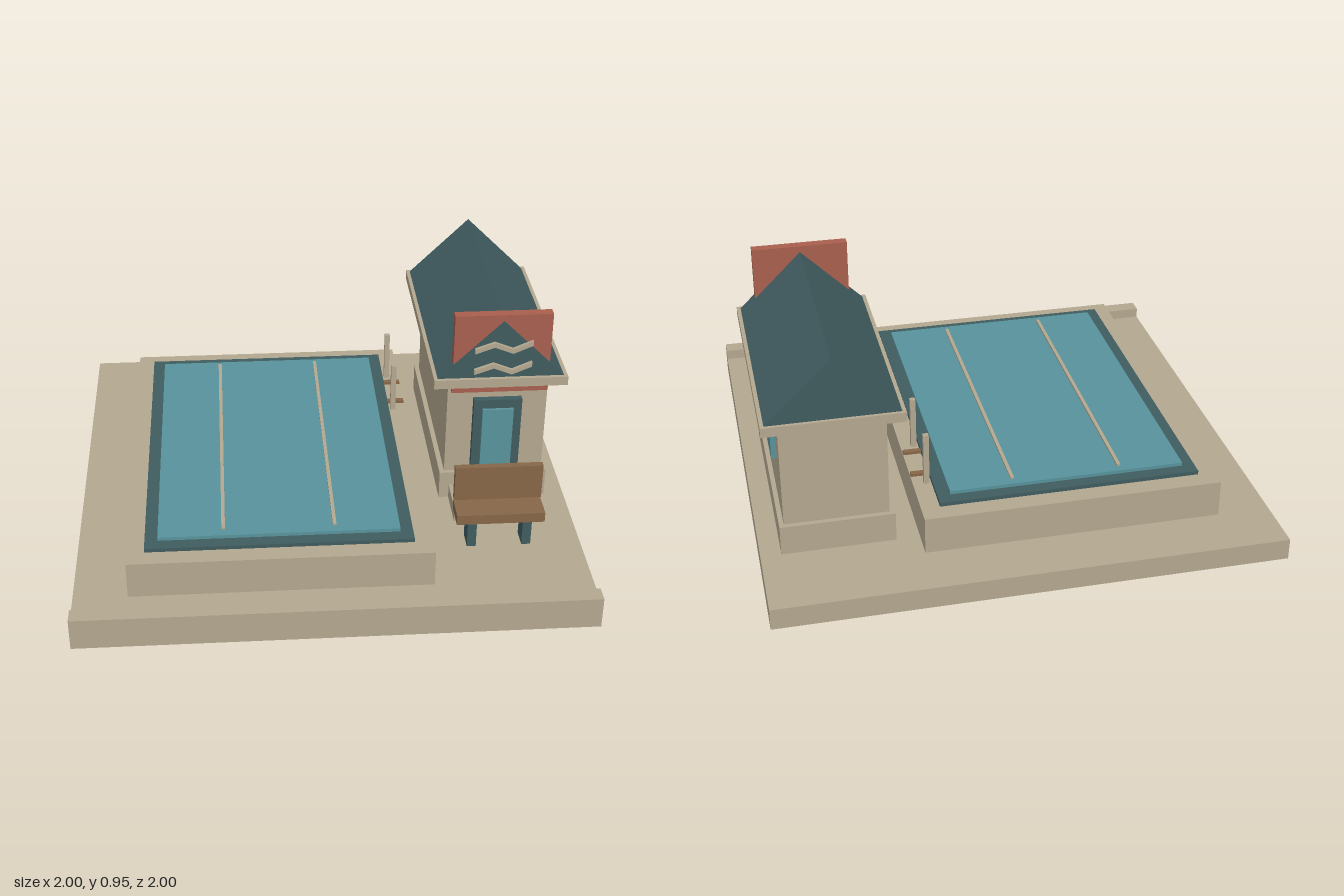
import * as THREE from 'three';

const mat = (name, color) => {
  const m = new THREE.MeshStandardMaterial({ color });
  m.name = name;
  return m;
};

export function createModel() {
  const root = new THREE.Group();
  root.name = 'poolAndHouse';
  const stone = mat('stone', 0xb3a78f);
  const slate = mat('slate', 0x405c5f);
  const aqua = mat('aqua', 0x57929b);
  const wood = mat('wood', 0x866648);
  const brick = mat('brick', 0xa85f4e);

  const group = (name) => {
    const g = new THREE.Group();
    g.name = name;
    root.add(g);
    return g;
  };
  // Box from its limits on each axis
  const box = (parent, name, m, [x0, x1], [y0, y1], [z0, z1]) => {
    const mesh = new THREE.Mesh(new THREE.BoxGeometry(x1 - x0, y1 - y0, z1 - z0), m);
    mesh.position.set((x0 + x1) / 2, (y0 + y1) / 2, (z0 + z1) / 2);
    mesh.name = name;
    parent.add(mesh);
  };
  // Outline in x and y, extruded from z0 to z1
  const prism = (parent, name, m, points, z0, z1) => {
    const shape = new THREE.Shape(points.map(([x, y]) => new THREE.Vector2(x, y)));
    const geo = new THREE.ExtrudeGeometry(shape, { depth: z1 - z0, bevelEnabled: false });
    geo.translate(0, 0, z0);
    const mesh = new THREE.Mesh(geo, m);
    mesh.name = name;
    parent.add(mesh);
  };

  // Ground slab with a front curb
  const ground = group('ground');
  box(ground, 'slab', stone, [-1, 1], [0, 0.087], [-1, 1]);
  box(ground, 'curb', stone, [-1, 1], [0.087, 0.13], [0.933, 1]);

  // Raised pool
  const pool = group('pool');
  box(pool, 'deck', stone, [-0.79, 0.385], [0.087, 0.238], [-0.777, 0.813]);
  box(pool, 'rim', slate, [-0.722, 0.312], [0.238, 0.254], [-0.703, 0.74]);
  box(pool, 'water', aqua, [-0.672, 0.262], [0.254, 0.268], [-0.653, 0.69]);
  for (const x of [-0.42, 0.01])
    box(pool, 'laneLine', stone, [x - 0.007, x + 0.007], [0.268, 0.277], [-0.62, 0.652]);

  // Ladder rails and rungs
  const ladder = group('ladder');
  for (const z of [-0.526, -0.247])
    box(ladder, 'rail', stone, [0.32, 0.342], [0.238, 0.455], [z - 0.011, z + 0.011]);
  for (const z of [-0.465, -0.302])
    box(ladder, 'rung', wood, [0.308, 0.383], [0.234, 0.25], [z - 0.011, z + 0.011]);

  // House body
  const house = group('house');
  box(house, 'foundation', stone, [0.477, 0.92], [0.087, 0.208], [-0.668, 0.228]);
  box(house, 'walls', stone, [0.497, 0.902], [0.208, 0.64], [-0.648, 0.21]);
  box(house, 'eaves', stone, [0.431, 0.967], [0.64, 0.678], [-0.718, 0.277]);
  prism(house, 'roof', slate, [[0.446, 0.678], [0.952, 0.678], [0.699, 0.927]], -0.704, 0.261);
  box(house, 'doorstep', stone, [0.517, 0.884], [0.087, 0.147], [0.228, 0.403]);
  box(house, 'door', slate, [0.602, 0.798], [0.115, 0.557], [0.21, 0.237]);
  box(house, 'doorGlass', aqua, [0.637, 0.763], [0.235, 0.518], [0.237, 0.25]);
  for (const z of [-0.013, -0.427])
    box(house, 'sideWindow', aqua, [0.902, 0.922], [0.428, 0.64], [z - 0.1, z + 0.1]);

  // Sign board with two zigzag waves in front of the gable
  const sign = group('sign');
  box(sign, 'board', brick, [0.506, 0.892], [0.608, 0.952], [0.217, 0.257]);
  const wave = [[0.585, 0], [0.662, 0.027], [0.735, -0.003], [0.813, 0.03]];
  for (const y of [0.813, 0.72]) {
    const upper = wave.map(([x, dy]) => [x, y + dy + 0.01]);
    const lower = wave.map(([x, dy]) => [x, y + dy - 0.01]).reverse();
    prism(sign, 'wave', stone, [...lower.reverse(), ...upper.reverse()], 0.28, 0.295);
  }

  // Bench
  const bench = group('bench');
  box(bench, 'seat', wood, [0.497, 0.846], [0.203, 0.245], [0.477, 0.592]);
  box(bench, 'backrest', wood, [0.497, 0.846], [0.255, 0.405], [0.469, 0.496]);
  for (const x of [0.562, 0.781])
    box(bench, 'leg', slate, [x - 0.018, x + 0.018], [0.087, 0.203], [0.497, 0.577]);

  return root;
}
